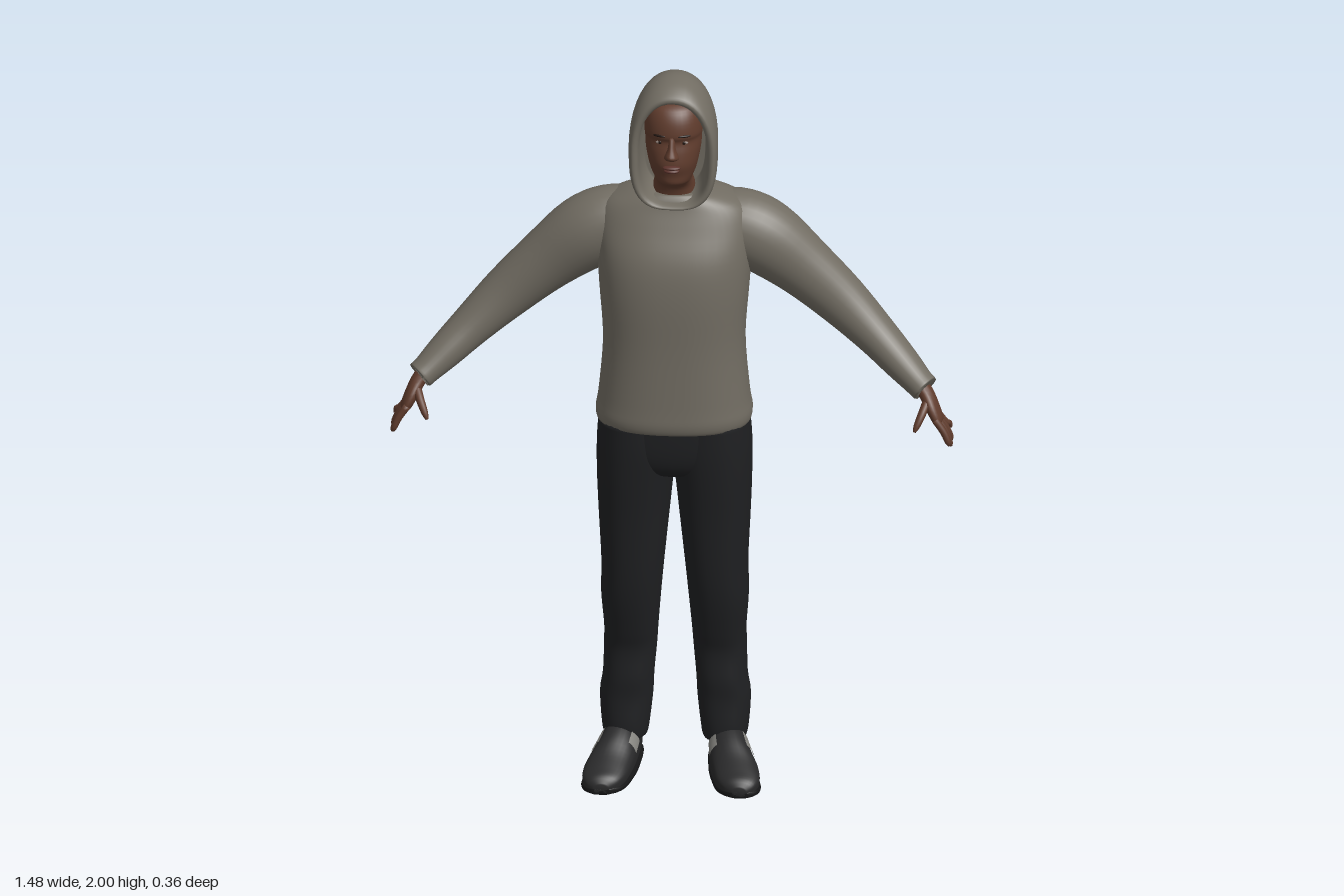
import * as THREE from 'three';

const mat = (name, color, side = THREE.FrontSide) =>
  Object.assign(new THREE.MeshStandardMaterial({ color, side }), { name });

// Catmull-Rom subdivision of rows of numbers
function refine(rows, steps = 4) {
  const out = [], n = rows.length;
  for (let i = 0; i < n - 1; i++) {
    const [a, b, c, d] = [rows[Math.max(i - 1, 0)], rows[i], rows[i + 1], rows[Math.min(i + 2, n - 1)]];
    for (let s = 0; s < steps; s++) {
      const t = s / steps;
      out.push(b.map((q, k) => 0.5 * (2 * q + (c[k] - a[k]) * t + (2 * a[k] - 5 * q + 4 * c[k] - d[k]) * t * t
        + (3 * q - a[k] - 3 * c[k] + d[k]) * t * t * t)));
    }
  }
  out.push(rows[n - 1]);
  return out;
}

// Skin over rings {c, u, v, p, q}: superellipses, power p above and q below; u x v points along the loft
function loft(rings, N = 32, from = 0, to = Math.PI * 2) {
  const closed = to - from > 6.28, M = closed ? N : N + 1, pos = [], idx = [];
  for (const { c, u, v, p = 2, q = p } of rings) for (let j = 0; j < M; j++) {
    const a = from + (to - from) * j / N, C = Math.cos(a), S = Math.sin(a), e = 2 / (S < 0 ? q : p);
    const x = Math.sign(C) * Math.abs(C) ** e, y = Math.sign(S) * Math.abs(S) ** e;
    pos.push(c.x + u.x * x + v.x * y, c.y + u.y * x + v.y * y, c.z + u.z * x + v.z * y);
  }
  for (let i = 0; i < rings.length - 1; i++) for (let j = 0; j < N; j++) {
    const k = (j + 1) % M, a = i * M + j, b = i * M + k;
    idx.push(a, b, a + M, b, b + M, a + M);
  }
  if (closed) [0, rings.length - 1].forEach((i, end) => {
    const { c } = rings[i], m = pos.length / 3;
    pos.push(c.x, c.y, c.z);
    for (let j = 0; j < N; j++) {
      const a = i * M + j, b = i * M + (j + 1) % M;
      idx.push(...(end ? [a, b, m] : [b, a, m]));
    }
  });
  const g = new THREE.BufferGeometry();
  g.setAttribute('position', new THREE.Float32BufferAttribute(pos, 3));
  g.setIndex(idx);
  g.computeVertexNormals();
  return g;
}

const V = (x, y, z) => new THREE.Vector3(x, y, z);
// Level ring spanning x0..x1 and zb..zf
const level = (y, x0, x1, zf, zb, p = 2.2) =>
  ({ c: V((x0 + x1) / 2, y, (zf + zb) / 2), u: V((x1 - x0) / 2, 0, 0), v: V(0, 0, -(zf - zb) / 2), p });
// Upright ring facing +z
const upright = (z, cx, cy, rx, ry, p, q) => ({ c: V(cx, cy, z), u: V(rx, 0, 0), v: V(0, ry, 0), p, q });

// Limb through rows [x, y, z, depth radius, width radius]
function limb(rows, N = 20, steps = 4) {
  const r = refine(rows, steps);
  return loft(r.map(([x, y, z, a, b], i) => {
    const s = r[Math.max(i - 1, 0)], e = r[Math.min(i + 1, r.length - 1)];
    const d = V(e[0] - s[0], e[1] - s[1], e[2] - s[2]).normalize();
    const u = V(0, 0, 1).addScaledVector(d, -d.z).normalize(), v = d.clone().cross(u);
    return { c: V(x, y, z), u: u.multiplyScalar(a), v: v.multiplyScalar(b) };
  }), N);
}

function mirrored(g) {
  const m = g.clone().scale(-1, 1, 1), ix = m.index.array;
  for (let i = 0; i < ix.length; i += 3) [ix[i], ix[i + 1]] = [ix[i + 1], ix[i]];
  m.computeVertexNormals();
  return m;
}

export function createModel() {
  const model = new THREE.Group();
  const cloth = mat('hoodieCloth', 0x716c62), denim = mat('trouserCloth', 0x1f2022), skin = mat('skin', 0x603c2d);
  const lip = mat('lips', 0x5a322b), dark = mat('browBlack', 0x20140f), white = mat('eyeWhite', 0x8f8078);
  const shoe = mat('shoeBlack', 0x29292a), sole = mat('soleBlack', 0x161617);
  const grey = mat('shoeGrey', 0x85847f, THREE.DoubleSide);
  const add = (name, g, m) => {
    const mesh = new THREE.Mesh(g, m);
    mesh.name = name;
    model.add(mesh);
  };
  const pair = (name, g, m) => {
    add('left' + name, g, m);
    add('right' + name, mirrored(g), m);
  };
  const ball = (x, y, z, rx, ry, rz) => new THREE.SphereGeometry(1, 16, 12).scale(rx, ry, rz).translate(x, y, z);

  // Hoodie body: y, half width, front z, back z
  add('hoodieBody', loft(refine([
    [1.04, 0.185, 0.12, -0.135], [1.02, 0.2, 0.132, -0.152], [1.045, 0.206, 0.141, -0.16], [1.1, 0.198, 0.139, -0.153],
    [1.25, 0.187, 0.135, -0.15], [1.4, 0.197, 0.135, -0.165], [1.5, 0.204, 0.122, -0.176], [1.58, 0.205, 0.088, -0.164],
    [1.63, 0.185, 0.066, -0.148], [1.66, 0.13, 0.055, -0.12], [1.675, 0.08, 0.045, -0.09],
  ]).map(([y, w, f, b]) => level(y, -w, w, f, b, 2.4)), 48), cloth);

  // Sleeves, with the cuff turned in
  pair('Sleeve', limb([
    [0.1, 1.565, -0.055, 0.085, 0.085], [0.17, 1.55, -0.055, 0.094, 0.1], [0.24, 1.515, -0.054, 0.094, 0.1],
    [0.34, 1.435, -0.051, 0.075, 0.083], [0.44, 1.345, -0.043, 0.066, 0.07], [0.53, 1.262, -0.015, 0.059, 0.056],
    [0.6, 1.2, 0.024, 0.052, 0.047], [0.645, 1.162, 0.055, 0.044, 0.039], [0.664, 1.147, 0.066, 0.043, 0.037],
    [0.66, 1.15, 0.064, 0.03, 0.025],
  ], 28), cloth);

  // Hood: grown from the back to the rim, then folded inside
  add('hood', loft(refine([
    [-0.123, 1.82, 0.01, 0.015], [-0.119, 1.82, 0.05, 0.09], [-0.103, 1.815, 0.082, 0.14], [-0.07, 1.82, 0.104, 0.167],
    [-0.02, 1.822, 0.114, 0.178], [0.03, 1.817, 0.117, 0.176], [0.062, 1.81, 0.115, 0.167], [0.076, 1.805, 0.106, 0.157],
    [0.066, 1.803, 0.092, 0.146], [0.02, 1.81, 0.088, 0.142], [-0.03, 1.81, 0.08, 0.13],
  ]).map(([z, y, w, h]) => upright(z, 0, y, w, h, 2.15, 3)), 48), cloth);

  // Head and neck
  add('head', loft(refine([
    [1.63, 0.06, 0.035, -0.06], [1.69, 0.055, 0.045, -0.06], [1.715, 0.05, 0.07, -0.06], [1.73, 0.05, 0.097, -0.06],
    [1.755, 0.06, 0.102, -0.06], [1.785, 0.067, 0.11, -0.06], [1.82, 0.073, 0.106, -0.06], [1.85, 0.075, 0.099, -0.06],
    [1.87, 0.077, 0.105, -0.06], [1.91, 0.074, 0.097, -0.06], [1.94, 0.06, 0.075, -0.05], [1.955, 0.02, 0.03, -0.02],
  ]).map(([y, w, f, b]) => level(y, -w, w, f, b, 2.1)), 36), skin);
  add('nose', loft(refine([
    [1.806, 0.012, 0.112], [1.811, 0.02, 0.128], [1.822, 0.017, 0.139], [1.84, 0.01, 0.124], [1.868, 0.008, 0.106],
  ]).map(([y, w, f]) => level(y, -w, w, f, 0.08, 2)), 16), skin);
  add('upperLip', ball(0, 1.785, 0.109, 0.024, 0.006, 0.013), lip);
  add('lowerLip', ball(0, 1.775, 0.106, 0.021, 0.007, 0.014), lip);
  pair('Eye', ball(0.031, 1.85, 0.0895, 0.012, 0.005, 0.004), white);
  pair('Iris', ball(0.031, 1.85, 0.092, 0.005, 0.005, 0.003), dark);
  pair('Brow', ball(0, 0, 0, 0.018, 0.0035, 0.004).rotateY(0.35).translate(0.033, 1.871, 0.0965), dark);

  // Hands: palm, four fingers and thumb
  pair('Palm', limb([
    [0.645, 1.163, 0.055, 0.026, 0.021], [0.668, 1.135, 0.072, 0.027, 0.02],
    [0.686, 1.1, 0.086, 0.037, 0.018], [0.7, 1.07, 0.092, 0.036, 0.014], [0.703, 1.062, 0.093, 0.02, 0.006],
  ], 16), skin);
  for (let i = 0; i < 4; i++) {
    const z = 0.064 + i * 0.019, tz = 0.05 + i * 0.026, ty = [1.03, 1.006, 1.0, 1.012][i], tx = 0.737 - Math.abs(i - 1.5) * 0.004;
    pair('Finger' + (i + 1), limb([
      [0.694, 1.082, z, 0.01, 0.01], [0.716, 1.05, (z + tz) / 2, 0.0095, 0.0095],
      [tx - 0.004, ty + 0.012, tz, 0.008, 0.008], [tx, ty, tz, 0.003, 0.003],
    ], 10, 3), skin);
  }
  pair('Thumb', limb([
    [0.672, 1.125, 0.088, 0.014, 0.012], [0.66, 1.1, 0.118, 0.013, 0.011],
    [0.647, 1.072, 0.137, 0.01, 0.009], [0.64, 1.056, 0.145, 0.004, 0.004],
  ], 10, 3), skin);

  // Trousers: seat, then each leg from hem to hip as y, inner x, outer x, front z, back z
  add('trouserSeat', loft(refine([
    [0.86, 0.08, 0.04, -0.09], [0.89, 0.16, 0.09, -0.135], [0.95, 0.196, 0.112, -0.145], [1.06, 0.195, 0.118, -0.14],
  ]).map(([y, w, f, b]) => level(y, -w, w, f, b, 2.5)), 40), denim);
  pair('TrouserLeg', loft(refine([
    [0.1, 0.085, 0.175, -0.005, -0.1], [0.085, 0.073, 0.187, 0.015, -0.125], [0.125, 0.066, 0.194, 0.02, -0.132],
    [0.2, 0.058, 0.198, 0.016, -0.128], [0.26, 0.055, 0.19, 0.02, -0.128], [0.34, 0.048, 0.188, 0.018, -0.134],
    [0.4, 0.044, 0.187, 0.034, -0.136], [0.5, 0.036, 0.194, 0.06, -0.138], [0.6, 0.027, 0.193, 0.076, -0.138],
    [0.75, 0.012, 0.2, 0.09, -0.143], [0.86, 0.001, 0.204, 0.103, -0.147], [0.95, -0.01, 0.204, 0.112, -0.147],
    [1.03, 0, 0.198, 0.115, -0.142],
  ]).map(([y, a, b, f, k]) => level(y, a, b, f, k, 2.3)), 32), denim);

  // Shoes: z, centre x, half width, height
  const shoeRows = refine([
    [-0.122, 0.132, 0.02, 0.06], [-0.112, 0.132, 0.04, 0.1], [-0.07, 0.135, 0.047, 0.125], [-0.01, 0.142, 0.05, 0.13],
    [0.04, 0.152, 0.055, 0.113], [0.09, 0.167, 0.06, 0.083], [0.135, 0.176, 0.057, 0.062], [0.165, 0.18, 0.042, 0.048],
    [0.18, 0.182, 0.018, 0.03],
  ]);
  const base = 0.006;
  const shoeRing = ([z, x, w, h], grow = 0) =>
    upright(z, x, base + (h - base) / 2, w + grow, (h - base) / 2 + grow, 2, 4);
  pair('Shoe', loft(shoeRows.map(r => shoeRing(r)), 28), shoe);
  pair('Sole', loft(shoeRows.map(([z, x, w]) => upright(z, x, 0.0095, w + 0.003, 0.0085, 5)), 20), sole);
  // Grey panels on both sides of the instep
  const panel = shoeRows.filter(([z]) => z > -0.005 && z < 0.065).map(r => shoeRing(r, 0.003));
  pair('OuterShoePanel', loft(panel, 8, 0.15, 0.85), grey);
  pair('InnerShoePanel', loft(panel, 8, Math.PI - 0.85, Math.PI - 0.15), grey);
  // Tread pads underneath
  for (const [name, x, z, rx, rz] of [['HeelTread', 0.135, -0.075, 0.026, 0.026], ['ToeTread', 0.17, 0.095, 0.036, 0.04]])
    pair(name, new THREE.CylinderGeometry(1, 1, 0.002, 20).scale(rx, 1, rz).translate(x, 0.001, z), grey);

  return model;
}
